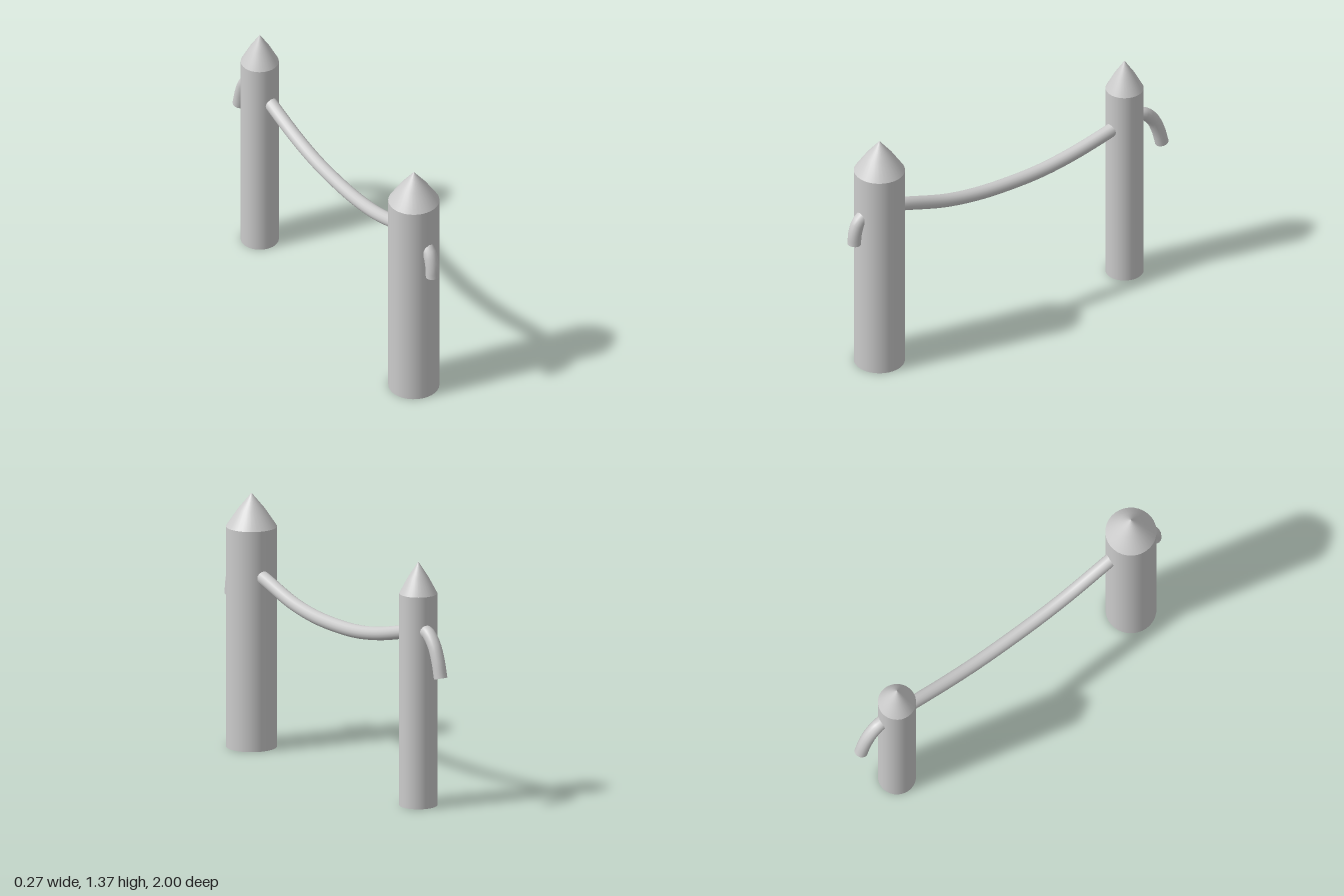
import * as THREE from 'three';

const material = new THREE.MeshStandardMaterial({ color: 0xcccccc });

function part(name, geometry) {
  const mesh = new THREE.Mesh(geometry, material);
  mesh.name = name;
  return mesh;
}

// Round post with a slightly bulging pointed top
function makePost(name, radius, shoulder, tip, z) {
  const post = new THREE.Group();
  post.name = name;
  const shaft = part('shaft', new THREE.CylinderGeometry(radius, radius, shoulder, 32));
  shaft.position.y = shoulder / 2;
  const rise = tip - shoulder;
  const point = part('pointedTop', new THREE.LatheGeometry([
    new THREE.Vector2(radius, shoulder),
    new THREE.Vector2(radius * 0.53, shoulder + rise * 0.52),
    new THREE.Vector2(0, tip),
  ], 32));
  post.add(shaft, point);
  post.position.set(-0.002, 0, z);
  return post;
}

// Rope sagging between the posts, with both ends hanging outside
function makeRope() {
  const rope = new THREE.Group();
  rope.name = 'rope';
  const radius = 0.036;
  const path = [
    [0.965, 0.79], [0.96, 0.855], [0.935, 0.92], [0.88, 0.955], [0.78, 0.957],
    [0.667, 0.932], [0.4, 0.855], [0.2, 0.824], [0, 0.816], [-0.2, 0.824],
    [-0.4, 0.855], [-0.64, 0.915], [-0.75, 0.947], [-0.84, 0.95],
    [-0.9, 0.897], [-0.937, 0.82], [-0.962, 0.728],
  ];
  const curve = new THREE.CatmullRomCurve3(path.map(([z, y]) => new THREE.Vector3(0.011, y, z)));
  rope.add(part('ropeStrand', new THREE.TubeGeometry(curve, 80, radius, 16)));
  for (const [t, sign] of [[0, -1], [1, 1]]) {
    const end = part('ropeEnd', new THREE.CircleGeometry(radius, 16));
    const outward = curve.getTangentAt(t).multiplyScalar(sign);
    end.position.copy(curve.getPointAt(t));
    end.quaternion.setFromUnitVectors(new THREE.Vector3(0, 0, 1), outward);
    rope.add(end);
  }
  return rope;
}

export function createModel() {
  const model = new THREE.Group();
  model.name = 'ropeFence';
  model.add(
    makePost('frontPost', 0.134, 1.185, 1.365, 0.799),
    makePost('backPost', 0.1, 1.14, 1.31, -0.737),
    makeRope(),
  );
  return model;
}
